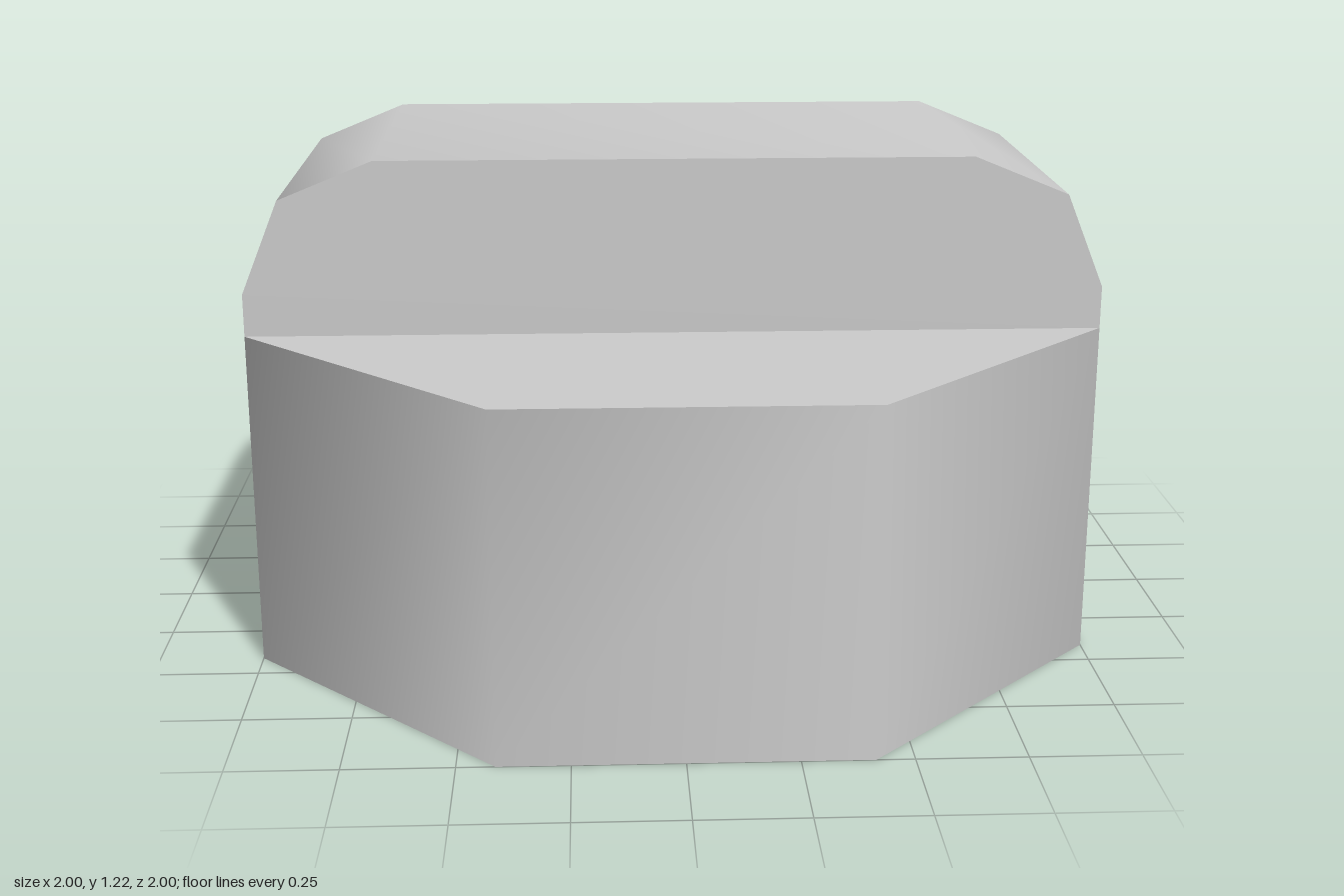
import * as THREE from 'three';
import { toCreasedNormals } from 'three/addons/utils/BufferGeometryUtils.js';

const DECK = 0.81;                      // height of the octagonal base
const HALF = Math.tan(Math.PI / 8);     // half an octagon side, also half the ridge depth
const RADIUS = 1 / Math.cos(Math.PI / 8);

// Ridge outline from the left deck edge over the top to the right one
const leftSide = [[1, DECK], [1, 0.91], [0.91, 1.13], [0.69, 1.22]];
const profile = [...leftSide, ...leftSide.map(([x, y]) => [-x, y]).reverse()];

// Octagon corners, running from the front towards +x
const corners = Array.from({ length: 8 }, (_, i) => {
  const a = Math.PI / 8 + i * Math.PI / 4;
  return [RADIUS * Math.sin(a), RADIUS * Math.cos(a)];
});

function flatShape(points) {
  return new THREE.ShapeGeometry(new THREE.Shape(points.map(([x, y]) => new THREE.Vector2(x, y))));
}

// Side walls and ridge cover share one smooth skin
function skinGeometry() {
  const positions = [];
  const quad = (a, b, c, d) => positions.push(...a, ...b, ...c, ...a, ...c, ...d);
  corners.forEach(([x0, z0], i) => {
    const [x1, z1] = corners[(i + 1) % 8];
    quad([x0, 0, z0], [x1, 0, z1], [x1, DECK, z1], [x0, DECK, z0]);
  });
  for (let i = 0; i < profile.length - 1; i++) {
    const [x0, y0] = profile[i];
    const [x1, y1] = profile[i + 1];
    quad([x0, y0, HALF], [x0, y0, -HALF], [x1, y1, -HALF], [x1, y1, HALF]);
  }
  const geometry = new THREE.BufferGeometry();
  geometry.setAttribute('position', new THREE.Float32BufferAttribute(positions, 3));
  return toCreasedNormals(geometry, Math.PI / 3);
}

export function createModel() {
  const grey = new THREE.MeshStandardMaterial({ color: 0xcccccc });
  grey.name = 'grey';
  const model = new THREE.Group();
  model.name = 'ridgedOctagonBlock';
  const add = (name, geometry) => {
    const mesh = new THREE.Mesh(geometry, grey);
    mesh.name = name;
    model.add(mesh);
  };

  add('wallsAndRidgeCover', skinGeometry());
  add('underside', flatShape(corners).rotateX(Math.PI / 2));

  // Flat deck and upright ridge face, front and back
  const deck = [[-1, HALF], [1, HALF], [HALF, 1], [-HALF, 1]];
  for (const [side, turn] of [['front', 0], ['back', Math.PI]]) {
    add(side + 'RidgeFace', flatShape(profile).translate(0, 0, HALF).rotateY(turn));
    add(side + 'Deck', flatShape(deck).rotateX(-Math.PI / 2).translate(0, DECK, 0).rotateY(turn + Math.PI));
  }
  return model;
}
